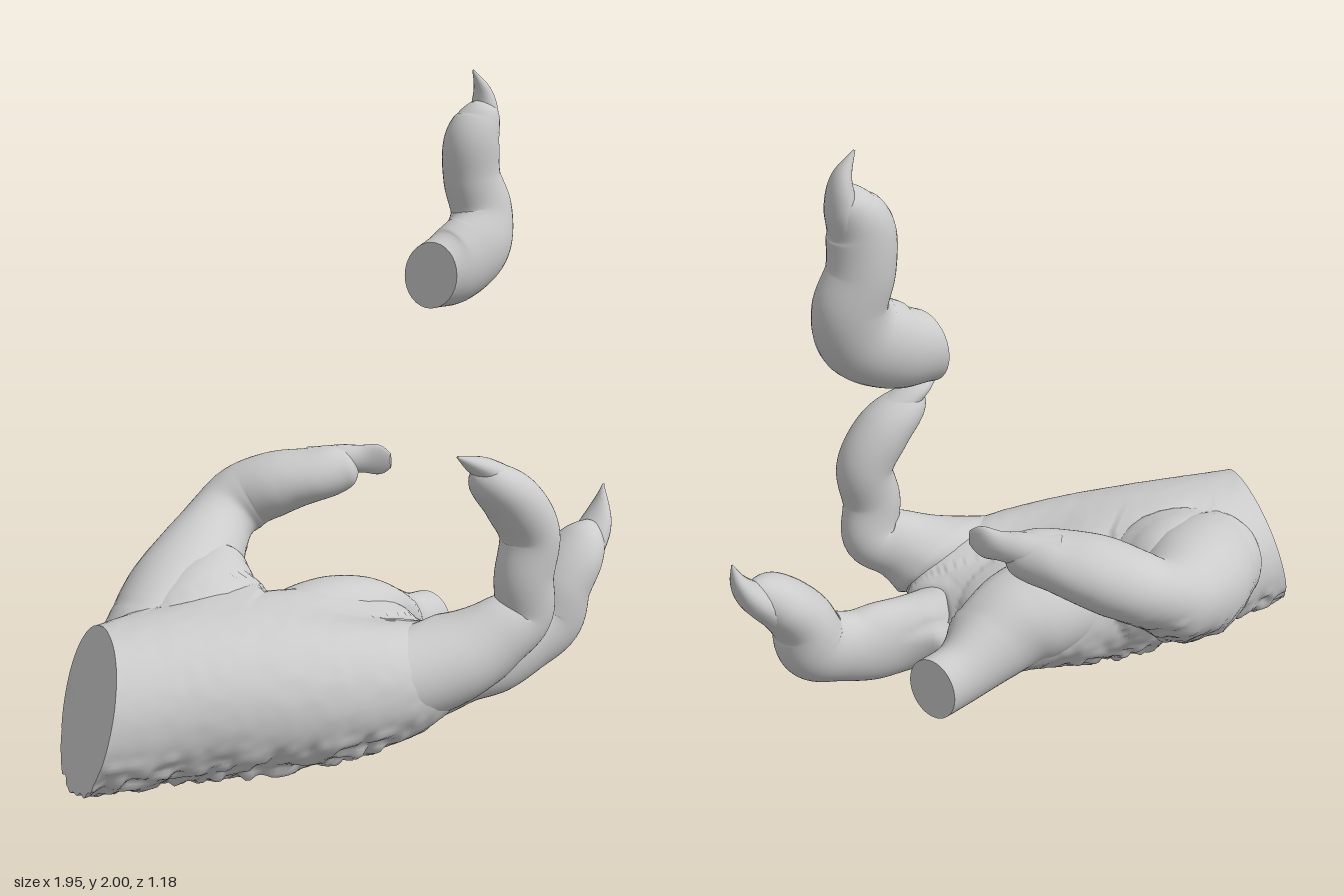
import * as THREE from 'three';

const material = new THREE.MeshStandardMaterial({ color: 0xcccccc, roughness: 0.8 });
const Z = [0, 0, 1], Y = [0, 1, 0];
const crossSections = new Map();

// Smooth lattice noise from -1 to 1, for the pitted skin on the heel of the hand.
function pits(...p) {
  const cell = p.map(c => Math.floor(c * 30)), f = p.map((c, i) => THREE.MathUtils.smoothstep(c * 30 - cell[i], 0, 1));
  let sum = 0;
  for (let corner = 0; corner < 8; corner++) {
    const o = [corner & 1, corner >> 1 & 1, corner >> 2];
    const h = Math.sin((cell[0] + o[0]) * 12.99 + (cell[1] + o[1]) * 78.23 + (cell[2] + o[2]) * 37.72) * 4375.85;
    sum += (h - Math.floor(h)) * o.reduce((w, bit, i) => w * (bit ? f[i] : 1 - f[i]), 1);
  }
  return sum * 2 - 1;
}

// Lofted limb along points [x, y, z, radius, sideways stretch].
// side: axis the bend hinges on; startCut / endCut: normal of a flat cut face;
// round: fraction of the length used to round off the tip.
function limb(name, points, { side = Z, rings = 56, sides = 32, startCut, endCut, round = 0, power = 2, rough = false, shape } = {}) {
  const path = new THREE.CatmullRomCurve3(points.map(p => new THREE.Vector3(p[0], p[1], p[2])), false, 'catmullrom', 0.5);
  const size = new THREE.CatmullRomCurve3(points.map(p => new THREE.Vector3(p[3], p[4] ?? 1, 0)), false, 'catmullrom', 0.5);
  const sideAxis = new THREE.Vector3(...side);
  const pos = [], index = [], sections = [];
  for (let i = 0; i <= rings; i++) {
    const t = i / rings;
    const c = path.getPoint(t), T = path.getTangent(t), s = size.getPoint(t);
    const N = sideAxis.clone().cross(T).normalize(), B = T.clone().cross(N);
    let r = Math.max(s.x, 0.002);
    if (round && t > 1 - round) r *= Math.sqrt(Math.max(0.0004, 1 - ((t - 1 + round) / round) ** 2));
    if (i % 2 === 0) sections.push({ c, T, N, B, r, w: r * s.y });
    for (let j = 0; j < sides; j++) {
      const a = j / sides * Math.PI * 2, ca = Math.cos(a), sa = Math.sin(a);
      const k = (Math.abs(ca) ** power + Math.abs(sa) ** power) ** (-1 / power);
      const d = N.clone().multiplyScalar(ca * r * k).addScaledVector(B, sa * r * k * s.y);
      // lean the rings near an end into the plane of its cut
      for (const [cut, near] of [[startCut, 1 - t / 0.18], [endCut, 1 - (1 - t) / 0.18]]) {
        if (!cut || near <= 0) continue;
        const n = new THREE.Vector3(...cut);
        d.addScaledVector(T, -d.dot(n) / T.dot(n) * near);
      }
      const v = c.clone().add(d);
      if (rough) {
        const low = THREE.MathUtils.smoothstep(-d.y / r, 0.1, 0.8) * THREE.MathUtils.smoothstep(0.15 - v.x, 0, 0.3);
        v.addScaledVector(d, (0.07 * low + 0.004) * pits(v.x, v.y, v.z));
      }
      if (shape) shape(v, d, r);
      pos.push(v.x, v.y, v.z);
    }
  }
  for (let i = 0; i < rings; i++) for (let j = 0; j < sides; j++) {
    const a = i * sides + j, b = i * sides + (j + 1) % sides;
    index.push(a, b, a + sides, b, b + sides, a + sides);
  }
  // flat end caps with their own vertices, so the cut edge stays sharp
  for (const [ring, end] of [[0, 0], [rings, 1]]) {
    const base = pos.length / 3, c = path.getPoint(end);
    for (let j = 0; j < sides * 3; j++) pos.push(pos[ring * sides * 3 + j]);
    pos.push(c.x, c.y, c.z);
    for (let j = 0; j < sides; j++) {
      const a = base + j, b = base + (j + 1) % sides;
      index.push(base + sides, ...(end ? [a, b] : [b, a]));
    }
  }
  const geo = new THREE.BufferGeometry();
  geo.setAttribute('position', new THREE.Float32BufferAttribute(pos, 3));
  geo.setIndex(index);
  geo.computeVertexNormals();
  const mesh = new THREE.Mesh(geo, material);
  mesh.name = name;
  crossSections.set(mesh, sections);
  return mesh;
}

// Swells each limb where it meets another at an angle, so the joints read as fillets.
function fillet(limbs, reach) {
  const v = new THREE.Vector3(), n = new THREE.Vector3(), d = new THREE.Vector3(), away = new THREE.Vector3();
  for (const mesh of limbs) {
    const { position, normal } = mesh.geometry.attributes;
    const others = limbs.filter(m => m !== mesh).flatMap(m => crossSections.get(m));
    for (let i = 0; i < position.count; i++) {
      v.fromBufferAttribute(position, i);
      n.fromBufferAttribute(normal, i);
      let gap = Infinity;
      for (const { c, T, N, B, r, w } of others) {
        d.subVectors(v, c);
        const a = d.dot(N) / r, b = d.dot(B) / w, q = Math.hypot(a, b, d.dot(T) / r);
        const g = d.length() * (1 - 1 / Math.max(q, 0.01));
        if (g < gap) { gap = g; away.copy(N).multiplyScalar(a / r).addScaledVector(B, b / w).normalize(); }
      }
      const h = Math.max(0, 1 - Math.abs(gap) / reach);
      v.addScaledVector(n, reach / 4 * h * h * Math.min(1, 1 - n.dot(away)));
      position.setXYZ(i, v.x, v.y, v.z);
    }
    mesh.geometry.computeVertexNormals();
  }
}

function part(name, ...meshes) {
  const g = new THREE.Group();
  g.name = name;
  g.add(...meshes);
  return g;
}

const claw = (points, side = Z) => limb('claw', points, { side, rings: 20, sides: 20 });

export function createModel() {
  // Palm and wrist, with a slanted cut at the wrist and a hollow on top
  const palm = limb('palm', [
    [-0.885, 0.28, 0.06, 0.232, 1.03], [-0.65, 0.275, 0.08, 0.242, 1.18], [-0.35, 0.264, 0.13, 0.25, 1.32],
    [-0.1, 0.262, 0.18, 0.238, 1.42], [0.08, 0.265, 0.195, 0.2, 1.63], [0.2, 0.26, 0.2, 0.135, 1.95], [0.27, 0.25, 0.19, 0.03, 4]
  ], {
    rings: 130, sides: 120, startCut: [1, -0.3, 0.25], power: 2.1, rough: true,
    shape: (v, d, r) => {
      if (d.y > 0) v.y -= 0.07 * (d.y / r) * Math.exp(-(((v.z - 0.2) / 0.16) ** 2) - ((v.x - 0.05) / 0.28) ** 2);
    }
  });

  // Thumb, swinging out behind and curling forward, with its fleshy mound on the palm
  const mound = limb('thumbMound', [
    [-0.7, 0.36, 0.02, 0.03], [-0.58, 0.37, -0.03, 0.12], [-0.43, 0.39, -0.1, 0.16],
    [-0.33, 0.41, -0.18, 0.155], [-0.26, 0.45, -0.27, 0.12], [-0.2, 0.49, -0.34, 0.07]
  ], { side: Y, sides: 40, round: 0.15 });
  const thumb = limb('thumbFlesh', [
    [-0.74, 0.31, 0, 0.09], [-0.57, 0.345, -0.1, 0.165], [-0.4, 0.405, -0.25, 0.178], [-0.23, 0.485, -0.395, 0.142],
    [-0.11, 0.565, -0.465, 0.112], [-0.02, 0.625, -0.465, 0.122, 0.9], [0.07, 0.67, -0.405, 0.13, 0.8],
    [0.16, 0.7, -0.335, 0.112, 0.78], [0.24, 0.72, -0.285, 0.075], [0.29, 0.735, -0.255, 0.045]
  ], { side: Y, rings: 90, sides: 48, round: 0.07, rough: true });
  const thumbClaw = claw([[0.16, 0.73, -0.35, 0.06], [0.25, 0.745, -0.295, 0.052], [0.315, 0.752, -0.24, 0.032, 1.5], [0.36, 0.755, -0.17, 0.006, 4]], Y);

  // Stump of the index finger
  const stump = limb('indexStump', [
    [-0.3, 0.31, 0.04, 0.13], [-0.05, 0.31, 0, 0.16], [0.1, 0.295, -0.01, 0.155],
    [0.22, 0.255, -0.04, 0.132, 0.85], [0.35, 0.215, -0.07, 0.108, 0.82], [0.46, 0.2, -0.09, 0.104, 0.83]
  ], { sides: 48, endCut: [0.92, 0, -0.4] });

  // Severed index finger, hovering above its stump
  const severed = limb('indexFlesh', [
    [0.455, 1.372, -0.095, 0.104, 0.85], [0.55, 1.395, -0.1, 0.124, 0.8], [0.65, 1.455, -0.11, 0.125, 0.78],
    [0.69, 1.55, -0.135, 0.108, 0.8], [0.66, 1.66, -0.15, 0.097, 0.86], [0.655, 1.77, -0.15, 0.095, 0.88],
    [0.685, 1.85, -0.155, 0.07], [0.69, 1.905, -0.16, 0.045]
  ], { startCut: [0.92, 0, -0.4], round: 0.1 });
  const severedClaw = claw([[0.7, 1.77, -0.155, 0.045, 1.2], [0.712, 1.85, -0.16, 0.042, 1.35], [0.708, 1.93, -0.165, 0.026, 1.4], [0.67, 2, -0.168, 0.003]]);

  // Middle finger, reaching forward and bending up
  const middle = limb('middleFlesh', [
    [-0.25, 0.2, 0.2, 0.13], [0, 0.185, 0.215, 0.152], [0.22, 0.185, 0.235, 0.142, 0.9], [0.36, 0.19, 0.245, 0.13, 0.75],
    [0.49, 0.195, 0.248, 0.135, 0.64], [0.6, 0.215, 0.245, 0.118, 0.75], [0.705, 0.265, 0.24, 0.118, 0.87],
    [0.745, 0.37, 0.24, 0.1, 1.07], [0.82, 0.465, 0.235, 0.083, 1.2], [0.91, 0.55, 0.22, 0.05]
  ], { rings: 80, sides: 48, round: 0.08 });
  const middleClaw = claw([[0.83, 0.43, 0.23, 0.055, 1.4], [0.91, 0.52, 0.215, 0.045, 1.45], [0.95, 0.59, 0.2, 0.025, 1.5], [0.97, 0.66, 0.19, 0.003]]);

  // Little finger, standing up and hooking back over the palm
  const little = limb('littleFlesh', [
    [-0.3, 0.29, 0.32, 0.12], [-0.05, 0.28, 0.38, 0.138], [0.15, 0.32, 0.435, 0.13], [0.29, 0.385, 0.475, 0.115, 0.85],
    [0.375, 0.44, 0.49, 0.1, 0.82], [0.365, 0.56, 0.5, 0.097, 0.83], [0.385, 0.69, 0.497, 0.092, 0.98],
    [0.32, 0.8, 0.495, 0.088, 1.08], [0.24, 0.87, 0.49, 0.068, 1.15], [0.17, 0.91, 0.485, 0.04]
  ], { rings: 80, sides: 48, round: 0.07 });
  const littleClaw = claw([[0.3, 0.86, 0.49, 0.05, 1.2], [0.22, 0.915, 0.485, 0.038, 1.4], [0.165, 0.945, 0.48, 0.022, 1.6], [0.12, 0.97, 0.475, 0.003]]);

  fillet([palm, mound, thumb, stump, middle, little], 0.14);
  return part('clawedHand', palm, part('thumb', mound, thumb, thumbClaw), stump,
    part('severedIndexFinger', severed, severedClaw),
    part('middleFinger', middle, middleClaw), part('littleFinger', little, littleClaw));
}
